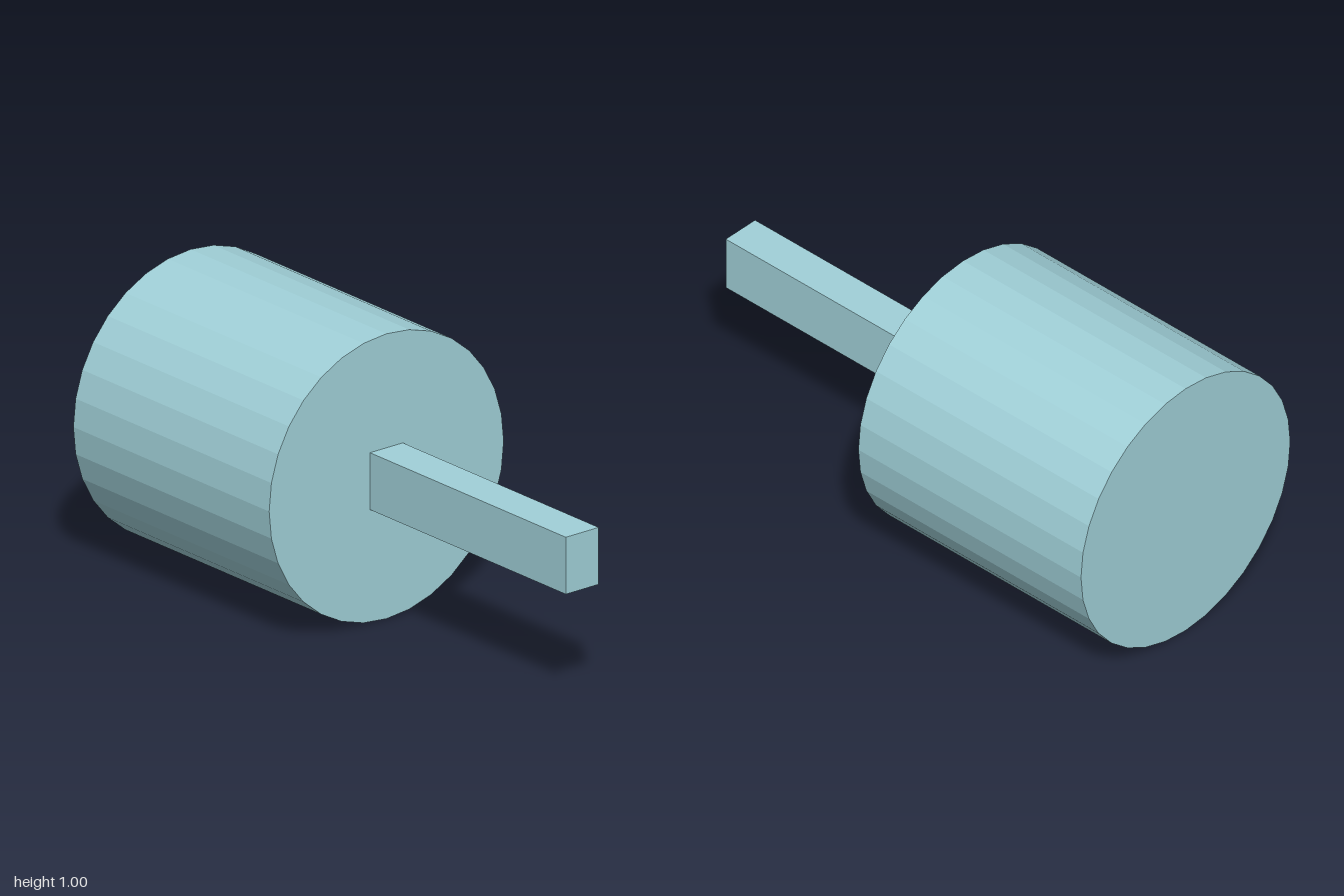
import * as THREE from 'three';

export function createModel() {
  const model = new THREE.Group();
  const paleTeal = new THREE.MeshStandardMaterial({ color: 0xa0d0d8, flatShading: true });
  paleTeal.name = 'pale teal';

  // 32-sided drum lying along x, with a vertex at its top and bottom
  const drumGeometry = new THREE.CylinderGeometry(0.5, 0.5, 1, 32);
  drumGeometry.rotateZ(-Math.PI / 2);
  const drum = new THREE.Mesh(drumGeometry, paleTeal);
  drum.name = 'drum';
  drum.position.set(-0.5, 0.5, 0);

  // Rectangular shaft from the centre of the drum's end
  const shaft = new THREE.Mesh(new THREE.BoxGeometry(1, 0.2, 0.14), paleTeal);
  shaft.name = 'shaft';
  shaft.position.set(0.5, 0.5, 0);

  model.add(drum, shaft);
  return model;
}
